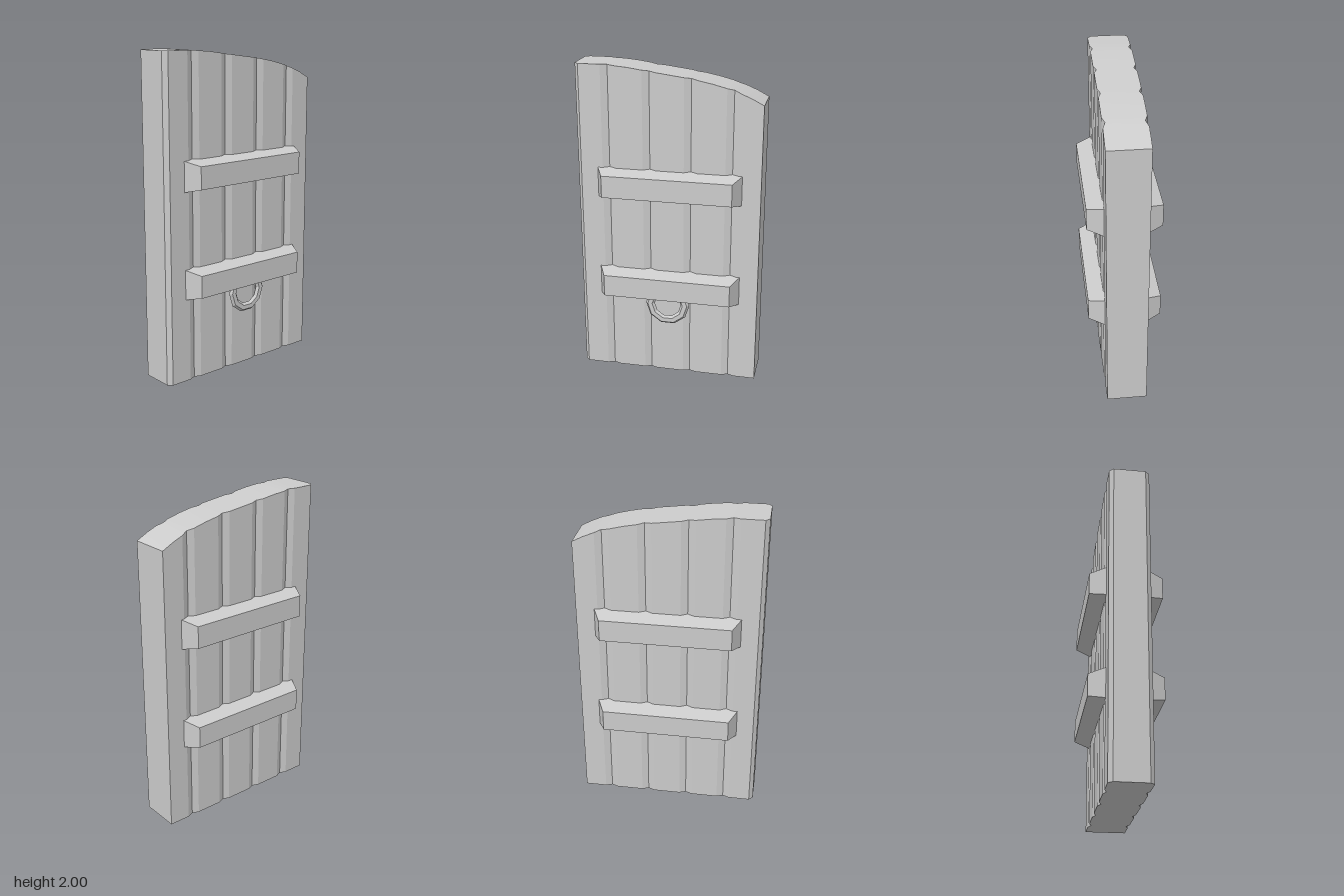
import * as THREE from 'three';
import { toCreasedNormals } from 'three/addons/utils/BufferGeometryUtils.js';

const material = new THREE.MeshStandardMaterial({ color: 0xcccccc });
const HALF = 0.126; // half thickness of the planks
const GROOVE = 0.11; // half thickness at the bottom of a groove

// Height of the curved top edge along the door
const crest = [[-0.6, 2], [-0.39, 2], [-0.25, 1.988], [-0.122, 1.97], [0.132, 1.937],
  [0.26, 1.912], [0.385, 1.88], [0.48, 1.842], [0.561, 1.8]];
function topAt(x) {
  let i = 1;
  while (i < crest.length - 1 && crest[i][0] < x) i++;
  const [x0, y0] = crest[i - 1], [x1, y1] = crest[i];
  return y0 + (y1 - y0) * (x - x0) / (x1 - x0);
}

// Plank panel: a box whose columns follow the stations [x, half thickness]
function panelGeometry() {
  const stations = [[-0.577, 0.1], [-0.552, HALF]];
  for (const c of [-0.375, -0.122, 0.132, 0.385]) {
    stations.push([c - 0.041, HALF], [c, GROOVE], [c + 0.041, HALF]);
    if (c < 0.3) stations.push([c + 0.127, HALF]);
  }
  stations.push([0.49, HALF], [0.561, HALF]);
  const n = stations.length - 1;
  const g = new THREE.BoxGeometry(n, 1, 2, n, 1, 1);
  const p = g.attributes.position;
  for (let i = 0; i < p.count; i++) {
    const [x, t] = stations[Math.round(p.getX(i) + n / 2)];
    p.setXYZ(i, x, p.getY(i) > 0 ? topAt(x) : 0, p.getZ(i) * t);
  }
  return toCreasedNormals(g, 0.3);
}

// Cross bar: a box tapering outward, its base sunk into the panel
function barGeometry() {
  const g = new THREE.BoxGeometry(2, 2, 1);
  const p = g.attributes.position;
  for (let i = 0; i < p.count; i++) {
    const outer = p.getZ(i) > 0;
    p.setXYZ(i, p.getX(i) * (outer ? 0.4 : 0.459), p.getY(i) * (outer ? 0.069 : 0.099), outer ? 0.224 : 0.1);
  }
  return toCreasedNormals(g, 0.1);
}

function add(parent, name, geometry) {
  const mesh = new THREE.Mesh(geometry, material);
  mesh.name = name;
  parent.add(mesh);
  return mesh;
}

export function createModel() {
  const door = new THREE.Group();
  door.name = 'door';
  door.rotation.y = Math.PI / 6; // standing ajar

  add(door, 'plankPanel', panelGeometry());

  // Two cross bars on each face
  const bar = barGeometry();
  for (const [level, y] of [['lower', 0.615], ['upper', 1.274]]) {
    add(door, level + 'FrontBar', bar).position.y = y;
    const back = add(door, level + 'BackBar', bar);
    back.position.y = y;
    back.rotation.y = Math.PI;
  }

  // Flattened pull ring hanging from the lower front bar
  const ring = new THREE.TorusGeometry(0.112, 0.028, 6, 10);
  ring.scale(1, 1, 0.65);
  add(door, 'pullRing', toCreasedNormals(ring, 0.1)).position.set(0, 0.5, 0.17);

  const model = new THREE.Group();
  model.name = 'plankDoor';
  model.add(door);
  return model;
}
